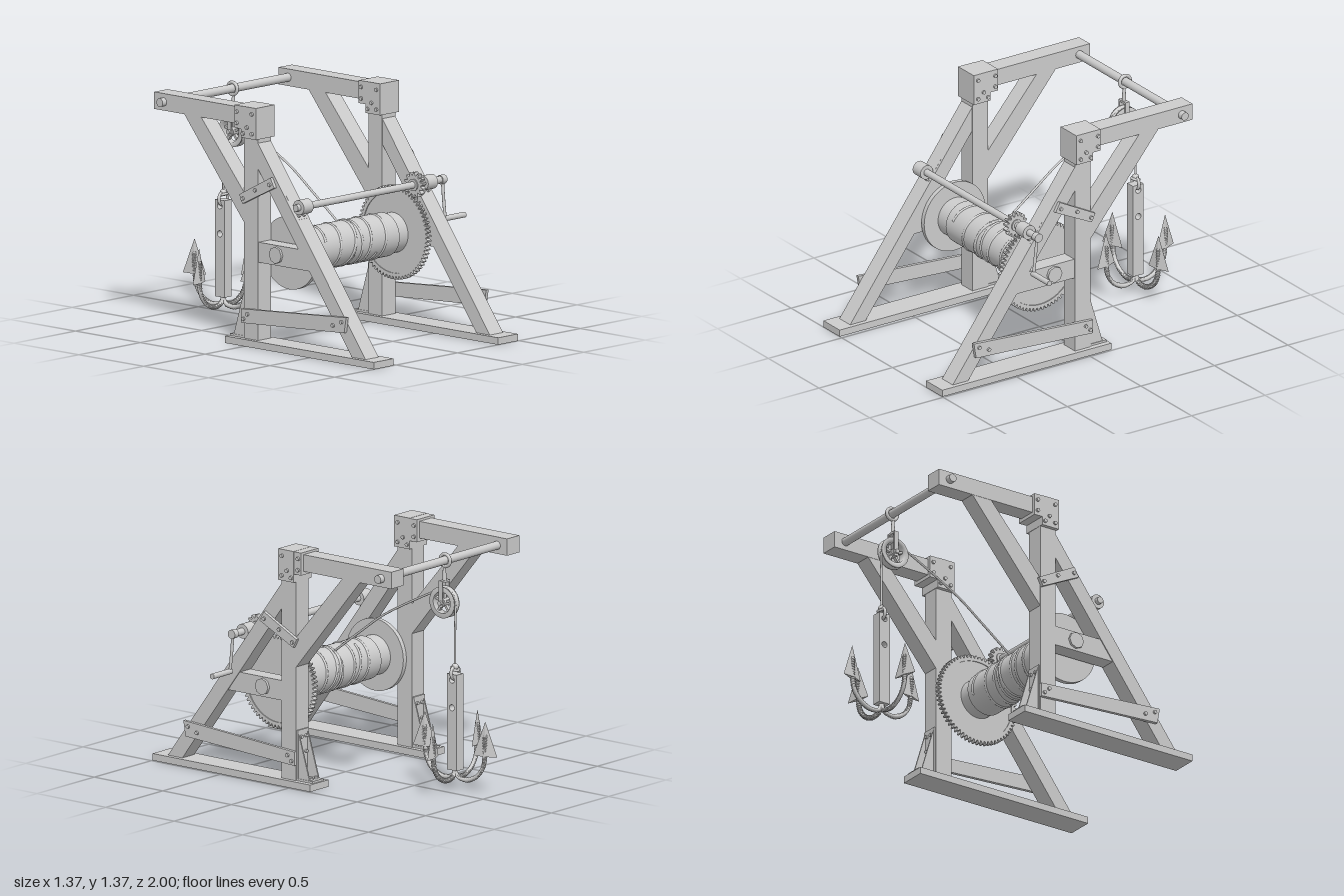
import * as THREE from 'three';

const grey = new THREE.MeshStandardMaterial({ color: 0xcccccc });
grey.name = 'plain grey';
const CX = -0.095; // middle plane between the two side frames
const V = (x, y, z) => new THREE.Vector3(x, y, z);

function add(parent, name, geo, x = 0, y = 0, z = 0) {
  const m = new THREE.Mesh(geo, grey);
  m.name = name;
  m.position.set(x, y, z);
  parent.add(m);
  return m;
}
// box given by its limits
function block(parent, name, x0, x1, y0, y1, z0, z1) {
  return add(parent, name, new THREE.BoxGeometry(x1 - x0, y1 - y0, z1 - z0),
    (x0 + x1) / 2, (y0 + y1) / 2, (z0 + z1) / 2);
}
// cylinder along x
function rod(parent, name, x0, x1, y, z, r, seg = 24) {
  const g = new THREE.CylinderGeometry(r, r, x1 - x0, seg).rotateZ(Math.PI / 2);
  return add(parent, name, g, (x0 + x1) / 2, y, z);
}
// side outline in (z, y), extruded along x around x = 0
function sideGeo(shape, width) {
  return new THREE.ExtrudeGeometry(shape, { depth: width, bevelEnabled: false, curveSegments: 24 })
    .rotateY(-Math.PI / 2).translate(width / 2, 0, 0);
}
const outline = pts => new THREE.Shape(pts.map(p => new THREE.Vector2(...p)));
const circleHole = (x, y, r) => new THREE.Path().absarc(x, y, r, 0, Math.PI * 2, true);
function tube(parent, name, pts, r, seg = 32) {
  return add(parent, name, new THREE.TubeGeometry(new THREE.CatmullRomCurve3(pts), seg, r, 10));
}
function gearShape(teeth, rOut, rIn) {
  const pts = [];
  for (let i = 0; i < teeth; i++)
    [[0, rIn], [0.25, rOut], [0.55, rOut], [0.8, rIn]].forEach(([f, r]) => {
      const a = (i + f) / teeth * Math.PI * 2;
      pts.push([r * Math.cos(a), r * Math.sin(a)]);
    });
  return outline(pts);
}

// One side frame, centred on its beam plane; s is the outward direction
function sideFrame(s) {
  const g = new THREE.Group();
  g.name = s > 0 ? 'leftFrame' : 'rightFrame';
  const W = 0.108, h = W / 2;
  const bolt = (y, z, x = h + 0.02, r = 0.011) =>
    rod(g, 'bolt', s > 0 ? x - 0.01 : -x - 0.01, s > 0 ? x + 0.01 : -x + 0.01, y, z, r, 10);
  block(g, 'basePlank', -0.08, 0.08, 0, 0.04, -0.15, 1);
  block(g, 'post', -h, h, 0.04, 1.2, -0.025, 0.08);
  block(g, 'topBeam', -h, h, 1.256, 1.353, -0.72, 0.05);
  add(g, 'frontLeg', sideGeo(outline([[0.91, 0.04], [0.805, 0.04], [0.07, 1.033], [0.07, 1.178]]), W - 0.002));
  add(g, 'rearBrace', sideGeo(outline([[-0.02, 0.69], [-0.02, 0.862], [-0.36, 1.257], [-0.49, 1.257]]), W - 0.004));
  add(g, 'axleBeam', sideGeo(outline([[0.475, 0.485], [0.39, 0.6], [0.075, 0.6], [0.075, 0.485]]), W - 0.012));
  // metal cap over the post
  block(g, 'postCap', -0.077, 0.077, 1.187, 1.367, -0.027, 0.086);
  block(g, 'capTail', -0.076, 0.076, 1.236, 1.366, -0.08, -0.02);
  [[1.33, -0.06], [1.265, -0.06], [1.25, 0.02], [1.212, -0.01], [1.217, 0.058], [1.33, 0.058]].forEach(([y, z]) => {
    bolt(y, z, 0.078);
    rod(g, 'bolt', -s * 0.078 - 0.008, -s * 0.078 + 0.008, y, z, 0.011, 10);
  });
  // outer tie plates
  const low = add(g, 'lowerPlank', sideGeo(outline([[0.78, 0.265], [0.765, 0.175], [-0.03, 0.13], [-0.03, 0.21]]), 0.02));
  const tie = add(g, 'upperTie', sideGeo(outline([[0.195, 0.985], [0.225, 0.93], [-0.02, 0.81], [-0.045, 0.86]]), 0.02));
  low.position.x = tie.position.x = s * (h + 0.01);
  [[0.235, 0.745], [0.208, 0.68], [0.185, 0.02], [0.155, -0.01], [0.945, 0.19], [0.9, 0.08], [0.84, -0.015]]
    .forEach(([y, z]) => bolt(y, z));
  // axle nut outside and collar inside
  rod(g, 'axleNut', -h - 0.008, h + 0.01, 0.545, 0.22, 0.048, 8);
  // foot bracket behind the post
  block(g, 'footPlate', -0.048, 0.048, 0.04, 0.33, -0.034, -0.024);
  block(g, 'footFlange', -0.048, 0.048, 0.04, 0.052, -0.14, -0.025);
  for (const x of [-0.04, 0.04])
    add(g, 'footGusset', sideGeo(outline([[-0.03, 0.05], [-0.03, 0.33], [-0.115, 0.05]]), 0.008), x);
  for (const x of [-0.02, 0.02]) {
    add(g, 'bolt', new THREE.CylinderGeometry(0.01, 0.01, 0.014, 10), x, 0.057, -0.11);
    for (const y of [0.2, 0.29])
      add(g, 'bolt', new THREE.CylinderGeometry(0.01, 0.01, 0.014, 10).rotateX(Math.PI / 2), x, y, -0.038);
  }
  // crankshaft bearing on the leg
  rod(g, 'bearing', -0.039, 0.039, 0.835, 0.38, 0.042);
  const seat = new THREE.Group();
  seat.name = 'bearingSeat';
  seat.position.set(0, 0.79, 0.335);
  seat.rotation.x = -0.636;
  block(seat, 'seatPlate', -0.039, 0.039, -0.045, 0.11, -0.01, 0.018);
  for (const x of [-0.02, 0.02])
    add(seat, 'bolt', new THREE.CylinderGeometry(0.011, 0.011, 0.014, 10).rotateX(Math.PI / 2), x, -0.022, 0.024);
  g.add(seat);
  g.position.x = CX + s * 0.506;
  return g;
}

// Drum with wound rope, end flange and gear wheel
function drum() {
  const g = new THREE.Group();
  g.name = 'drum';
  g.position.set(0, 0.543, 0.22);
  rod(g, 'axle', -0.6, 0.42, 0, 0, 0.03);
  rod(g, 'core', -0.52, 0.3, 0, 0, 0.114, 48);
  rod(g, 'flange', -0.544, -0.517, 0, 0, 0.208, 48);
  rod(g, 'woundRope', -0.425, 0.22, 0, 0, 0.125, 48);
  const ridge = (x0, x1, turns, phase) => {
    const n = Math.ceil(turns * 24), pts = [];
    for (let i = 0; i <= n; i++) {
      const a = phase + i / n * turns * Math.PI * 2;
      pts.push(V(x0 + (x1 - x0) * i / n, 0.122 * Math.sin(a), 0.122 * Math.cos(a)));
    }
    tube(g, 'ropeTurn', pts, 0.009, n * 3);
  };
  ridge(-0.37, 0.18, 4.5, 0.4);
  ridge(-0.28, 0.05, 1.6, 2);
  ridge(CX, CX + 0.02, 1, Math.PI / 2);
  const wheel = gearShape(64, 0.268, 0.25);
  wheel.holes.push(circleHole(0, 0, 0.232));
  add(g, 'gearRim', sideGeo(wheel, 0.03), 0.313);
  rod(g, 'gearDisc', 0.303, 0.322, 0, 0, 0.235, 48);
  rod(g, 'gearHub', 0.32, 0.36, 0, 0, 0.03);
  return g;
}

// Crankshaft with pinion and handle
function crank() {
  const g = new THREE.Group();
  g.name = 'crank';
  g.position.set(0, 0.835, 0.38);
  rod(g, 'shaft', -0.665, 0.535, 0, 0, 0.02);
  add(g, 'pinion', sideGeo(gearShape(14, 0.073, 0.054), 0.03), 0.31);
  rod(g, 'pinionHub', 0.288, 0.332, 0, 0, 0.035);
  rod(g, 'collar', 0.51, 0.545, 0, 0, 0.026);
  tube(g, 'arm', [V(0.53, 0.01, 0), V(0.528, -0.11, 0.012), V(0.528, -0.225, 0.025)], 0.009);
  rod(g, 'grip', 0.52, 0.685, -0.22, 0.024, 0.016);
  return g;
}

// Pulley hanging from the top rod
function pulley() {
  const g = new THREE.Group();
  g.name = 'pulley';
  g.position.set(CX, 1.063, -0.64);
  const profile = [[0.062, -0.024], [0.09, -0.024], [0.09, -0.016], [0.074, 0], [0.09, 0.016], [0.09, 0.024], [0.062, 0.024], [0.062, -0.024]];
  const rim = new THREE.LatheGeometry(profile.map(p => new THREE.Vector2(...p)), 40).rotateZ(Math.PI / 2);
  add(g, 'rim', rim.toNonIndexed());
  rod(g, 'hub', -0.024, 0.024, 0, 0, 0.024);
  rod(g, 'pin', -0.046, 0.046, 0, 0, 0.013);
  for (let i = 0; i < 5; i++) {
    const a = i / 5 * Math.PI * 2;
    add(g, 'spoke', new THREE.BoxGeometry(0.02, 0.05, 0.014), 0, 0.043 * Math.cos(a), 0.043 * Math.sin(a)).rotation.x = a;
  }
  for (const s of [-1, 1]) block(g, 'cheek', s * 0.03 - 0.004, s * 0.03 + 0.004, -0.025, 0.127, -0.013, 0.013);
  block(g, 'yokeTop', -0.034, 0.034, 0.115, 0.127, -0.014, 0.014);
  add(g, 'ring', new THREE.TorusGeometry(0.035, 0.01, 10, 32).rotateY(Math.PI / 2), 0, 0.242, -0.006);
  add(g, 'stem', new THREE.CylinderGeometry(0.008, 0.013, 0.09, 12), 0, 0.165, 0);
  return g;
}

// Four-armed grapnel
function grapnel() {
  const g = new THREE.Group();
  g.name = 'grapnel';
  g.position.set(CX, 0, -0.718);
  const body = outline([[-0.036, 0.11], [0.036, 0.11], [0.036, 0.663], [-0.036, 0.663]]);
  body.holes.push(circleHole(0, 0.47, 0.018), circleHole(0, 0.63, 0.018));
  add(g, 'shank', sideGeo(body, 0.058));
  add(g, 'eye', new THREE.TorusGeometry(0.036, 0.009, 10, 28), 0, 0.668, 0);
  add(g, 'knot', new THREE.SphereGeometry(0.02, 14, 10), 0, 0.702, 0);
  add(g, 'knotLoop', new THREE.TorusGeometry(0.022, 0.008, 8, 20).rotateX(Math.PI / 2.5), 0, 0.69, 0);
  for (let i = 0; i < 4; i++) {
    const arm = new THREE.Group();
    arm.name = 'hookArm';
    arm.rotation.y = i * Math.PI / 2 + 0.06;
    const path = [V(0, 0.12, 0), V(0.015, 0.075, 0), V(0.08, 0.06, 0), V(0.15, 0.09, 0), V(0.195, 0.15, 0), V(0.208, 0.23, 0), V(0.21, 0.34, 0)];
    tube(arm, 'arm', path, 0.0125, 40);
    const curve = new THREE.CatmullRomCurve3(path);
    // ribs around the arm
    for (let k = 4; k < 30; k++) {
      const rib = add(arm, 'rib', new THREE.TorusGeometry(0.011, 0.005, 6, 12));
      rib.position.copy(curve.getPointAt(k / 30));
      rib.lookAt(rib.position.clone().add(curve.getTangentAt(k / 30)));
    }
    const tip = new THREE.ConeGeometry(0.074, 0.2, 4).scale(1, 1, 0.2).toNonIndexed();
    tip.computeVertexNormals();
    add(arm, 'barb', tip, 0.21, 0.315, 0).rotation.y = 0.2;
    g.add(arm);
  }
  return g;
}

export function createModel() {
  const model = new THREE.Group();
  model.name = 'winch';
  model.add(sideFrame(-1), sideFrame(1), drum(), crank(), pulley(), grapnel());
  rod(model, 'topRod', -0.688, 0.498, 1.305, -0.647, 0.024);
  // rope from the drum over the pulley down to the grapnel
  tube(model, 'rope', [V(CX, 0.655, 0.16), V(CX, 0.8, -0.04 + 0.07 - 0.07 * 0.9), V(CX, 0.92, -0.2), V(CX, 1.12, -0.585),
    V(CX, 1.141, -0.64), V(CX, 1.12, -0.695), V(CX, 1.06, -0.718), V(CX, 0.9, -0.718), V(CX, 0.69, -0.718)], 0.0065, 80);
  return model;
}
